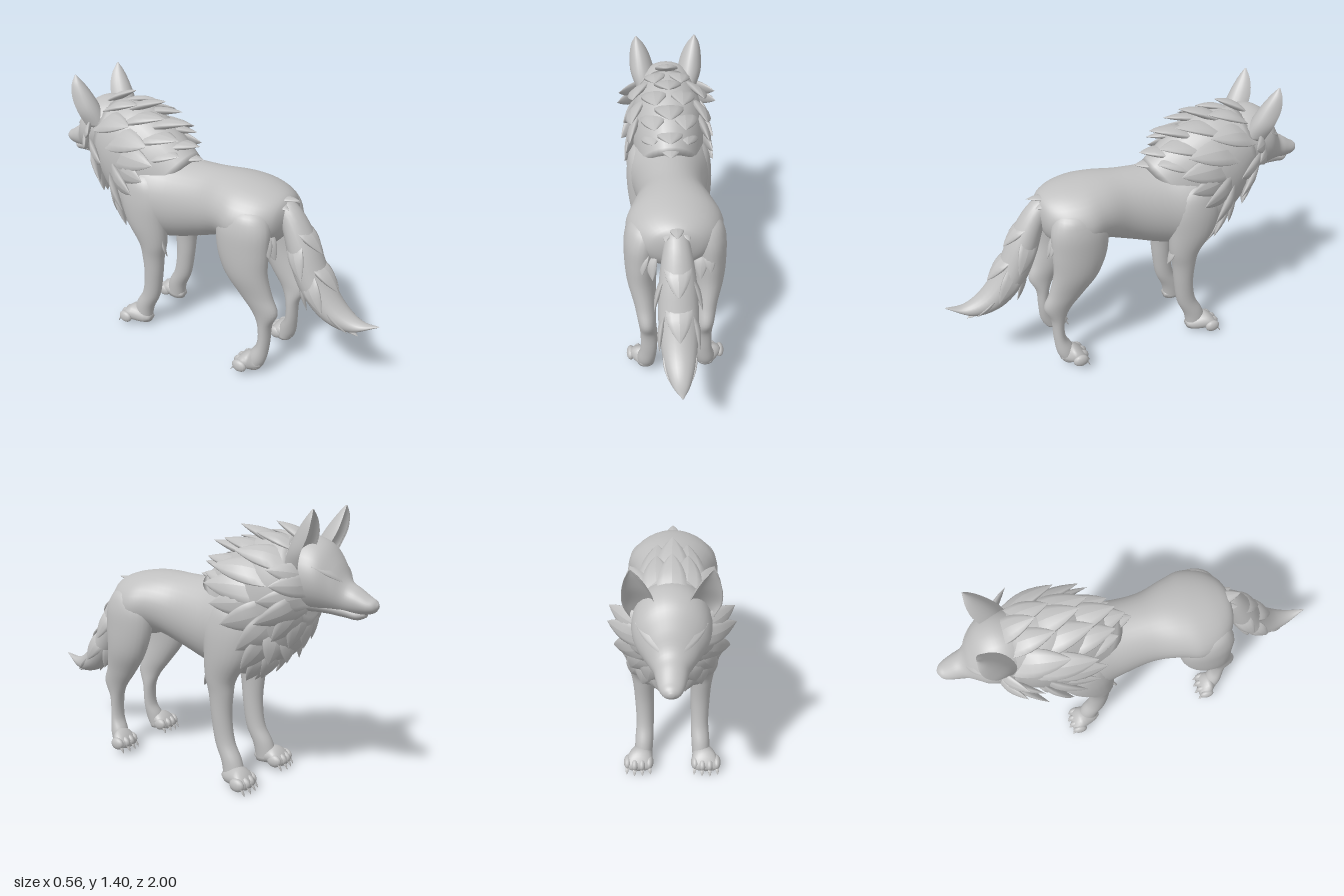
import * as THREE from 'three';

const fur = new THREE.MeshStandardMaterial({ color: 0xc0c0c0 });
fur.name = 'grey fur';

// Smooth skin through rings. Row: [x, halfWidth, y1, z1, y2, z2]; each ring spans the two y,z points.
// dent > 1 hollows the second side.
function loft(name, rows, { seg = 24, sub = 5, dent = 0, side = 1 } = {}) {
  const curve = (f) => new THREE.CatmullRomCurve3(rows.map((r) => new THREE.Vector3(...f(r))));
  const one = curve((r) => [r[0] * side, r[2], r[3]]);
  const two = curve((r) => [r[1], r[4], r[5]]);
  const n = (rows.length - 1) * sub, pos = [], idx = [];
  const mids = [];
  for (let i = 0; i <= n; i++) {
    const p = one.getPoint(i / n), q = two.getPoint(i / n), w = Math.max(q.x, 0.001);
    const my = (p.y + q.y) / 2, mz = (p.z + q.z) / 2;
    mids.push([p.x, my, mz]);
    for (let j = 0; j < seg; j++) {
      const a = (j / seg) * Math.PI * 2;
      let s = Math.sin(a);
      if (s < 0) s *= 1 - dent;
      pos.push(p.x + w * Math.cos(a), my + (p.y - my) * s, mz + (p.z - mz) * s);
      const k = (j + 1) % seg, b = i * seg;
      if (i < n) idx.push(b + j, b + k, b + seg + j, b + k, b + seg + k, b + seg + j);
    }
  }
  const c = (n + 1) * seg;
  pos.push(...mids[0], ...mids[n]);
  for (let j = 0; j < seg; j++) {
    const k = (j + 1) % seg;
    idx.push(c, k, j, c + 1, n * seg + j, n * seg + k);
  }
  // Turn the faces outward
  const v = (i) => new THREE.Vector3().fromArray(pos, i * 3);
  let vol = 0;
  for (let i = 0; i < idx.length; i += 3) vol += v(idx[i]).dot(v(idx[i + 1]).cross(v(idx[i + 2])));
  if (vol < 0) idx.reverse();
  const g = new THREE.BufferGeometry();
  g.setAttribute('position', new THREE.Float32BufferAttribute(pos, 3));
  g.setIndex(idx);
  g.computeVertexNormals();
  const m = new THREE.Mesh(g, fur);
  m.name = name;
  return m;
}

// Rows for a shape whose rings stand upright: [z, top, bottom, halfWidth, x]
const upright = (rows) => rows.map(([z, t, b, w, x = 0]) => [x, w, t, z, b, z]);

// Flat pointed lock of hair from base to tip, its root sunk into a body centred on `centre`
function tuft(name, [bx, by, bz, tx, ty, tz, w], centre, side) {
  const base = new THREE.Vector3(bx * side, by, bz), dir = new THREE.Vector3(tx * side, ty, tz).sub(base);
  const len = dir.length();
  dir.normalize();
  const out = base.clone().sub(centre);
  out.addScaledVector(dir, -out.dot(dir)).normalize();
  const across = new THREE.Vector3().crossVectors(dir, out);
  const g = new THREE.CylinderGeometry(1, 1, 1, 10, 8);
  const p = g.attributes.position;
  for (let i = 0; i < p.count; i++) {
    const t = p.getY(i) + 0.5, r = (1 - t) * (0.75 + 1.9 * t) + 0.003;
    const bow = 0.04 * len * Math.sin(Math.PI * t);
    p.setXYZ(i, p.getX(i) * r * w, t * len, p.getZ(i) * r * w * 0.33 * Math.min(1, 0.1 + 2 * t) + bow);
  }
  g.applyMatrix4(new THREE.Matrix4().makeBasis(across, dir, out).setPosition(base));
  g.computeVertexNormals();
  const m = new THREE.Mesh(g, fur);
  m.name = name;
  return m;
}

function tufts(name, list, centre) {
  const group = new THREE.Group();
  group.name = name;
  for (const t of list) for (const s of t[0] === 0 && t[3] === 0 ? [1] : [1, -1]) group.add(tuft('lock', t, new THREE.Vector3(...centre), s));
  return group;
}

// Paw with four toes and claws; z is the toe line, y the sole
function paw(name, side, x, y, z, heel) {
  const group = new THREE.Group();
  group.name = name;
  group.add(loft('pad', upright([
    [heel, y + 0.05, y + 0.02, 0.025, x - 0.005], [heel - 0.03, y + 0.075, y, 0.045, x],
    [z + 0.07, y + 0.1, y, 0.064, x + 0.01], [z + 0.03, y + 0.08, y, 0.067, x + 0.014], [z, y + 0.045, y + 0.005, 0.055, x + 0.017],
  ]), { side, sub: 3 }));
  for (let i = 0; i < 4; i++) {
    const d = i - 1.5, tx = x + 0.018 + d * 0.038, tz = z + 0.022 + Math.abs(d) * 0.012;
    const toe = new THREE.Mesh(new THREE.SphereGeometry(1, 14, 10), fur);
    toe.name = 'toe';
    toe.position.set(tx * side, y + 0.034, tz);
    toe.scale.set(0.022, 0.034, 0.042);
    group.add(toe);
    group.add(tuft('claw', [tx, y + 0.03, tz - 0.022, tx + d * 0.004, y - 0.012, tz - 0.05, 0.011], new THREE.Vector3(tx * side, 0, tz), side));
  }
  return group;
}

export function createModel() {
  const model = new THREE.Group();
  model.name = 'wolf';

  // Torso and neck
  model.add(loft('torso', upright([
    [0.495, 0.92, 0.85, 0.03], [0.465, 0.965, 0.76, 0.135], [0.39, 1.0, 0.69, 0.212], [0.28, 1.022, 0.67, 0.24],
    [0.18, 1.028, 0.69, 0.212], [0.04, 1.022, 0.64, 0.178], [-0.15, 1.02, 0.575, 0.195], [-0.3, 1.04, 0.55, 0.228],
    [-0.42, 1.04, 0.58, 0.21], [-0.52, 0.98, 0.66, 0.165], [-0.585, 0.91, 0.74, 0.07],
  ]), { seg: 36 }));
  model.add(loft('neck', [
    [0, 0.16, 1.03, -0.08, 0.62, -0.42], [0, 0.195, 1.15, -0.22, 0.67, -0.56],
    [0, 0.2, 1.25, -0.4, 0.77, -0.64], [0, 0.17, 1.265, -0.6, 0.89, -0.68],
  ], { seg: 32 }));

  // Head
  model.add(loft('skull and snout', upright([
    [-0.5, 1.22, 0.97, 0.1], [-0.58, 1.26, 0.93, 0.155], [-0.67, 1.272, 0.92, 0.172], [-0.75, 1.24, 0.925, 0.158],
    [-0.81, 1.165, 0.928, 0.115], [-0.86, 1.08, 0.93, 0.077], [-0.91, 1.05, 0.932, 0.064], [-0.96, 1.018, 0.94, 0.05],
    [-0.985, 1.005, 0.95, 0.035], [-1.0, 0.988, 0.97, 0.01],
  ]), { seg: 32 }));
  model.add(loft('lower jaw', upright([
    [-0.68, 1.02, 0.925, 0.12], [-0.78, 1.0, 0.922, 0.09], [-0.86, 0.98, 0.912, 0.06], [-0.91, 0.96, 0.907, 0.045], [-0.945, 0.95, 0.922, 0.02],
  ])));
  // Brow ridges
  model.add(tufts('brows', [[0.02, 1.09, -0.845, 0.15, 1.15, -0.74, 0.035]], [0, 1.0, -0.72]));
  for (const side of [1, -1]) {
    model.add(loft('ear', [
      [0.122, 0.05, 1.13, -0.59, 1.14, -0.78], [0.133, 0.066, 1.21, -0.618, 1.2, -0.8],
      [0.145, 0.057, 1.29, -0.66, 1.28, -0.825], [0.156, 0.034, 1.355, -0.705, 1.35, -0.8], [0.163, 0.003, 1.4, -0.742, 1.398, -0.755],
    ], { side, dent: 1.45 }));

    // Hind leg
    model.add(loft('hind leg', [
      [0.1, 0.02, 0.95, 0.36, 0.95, 0.3], [0.13, 0.08, 0.915, 0.43, 0.915, 0.24], [0.157, 0.088, 0.84, 0.465, 0.84, 0.185],
      [0.168, 0.084, 0.72, 0.47, 0.72, 0.183], [0.169, 0.074, 0.6, 0.47, 0.58, 0.23], [0.155, 0.056, 0.48, 0.495, 0.46, 0.315],
      [0.147, 0.045, 0.39, 0.527, 0.37, 0.385], [0.14, 0.043, 0.3, 0.492, 0.29, 0.42], [0.143, 0.043, 0.18, 0.485, 0.18, 0.42],
      [0.155, 0.048, 0.09, 0.475, 0.115, 0.385], [0.16, 0.046, 0.035, 0.45, 0.04, 0.37],
    ], { side }));
    model.add(paw('hind paw', side, 0.165, 0.03, 0.33, 0.46));

    // Front leg
    model.add(loft('front leg', [
      [0.1, 0.02, 0.98, -0.28, 0.98, -0.36], [0.128, 0.08, 0.92, -0.22, 0.92, -0.43], [0.148, 0.086, 0.82, -0.175, 0.82, -0.46],
      [0.155, 0.08, 0.68, -0.175, 0.68, -0.43], [0.15, 0.066, 0.56, -0.18, 0.54, -0.345], [0.148, 0.056, 0.47, -0.2, 0.47, -0.332],
      [0.146, 0.05, 0.35, -0.215, 0.35, -0.325], [0.145, 0.046, 0.21, -0.24, 0.22, -0.345], [0.15, 0.048, 0.11, -0.285, 0.135, -0.39],
      [0.155, 0.046, 0.02, -0.3, 0.04, -0.42],
    ], { side }));
    model.add(paw('front paw', side, 0.16, 0.012, -0.465, -0.295));
  }

  // Tail
  model.add(loft('tail', [
    [0, 0.045, 0.97, 0.4, 0.87, 0.43], [0, 0.065, 0.935, 0.51, 0.8, 0.465], [0, 0.09, 0.775, 0.63, 0.66, 0.51],
    [0, 0.095, 0.6, 0.715, 0.5, 0.59], [0, 0.078, 0.465, 0.82, 0.385, 0.71], [0, 0.045, 0.42, 0.91, 0.35, 0.85],
    [0, 0.003, 0.432, 1.0, 0.425, 0.995],
  ]));
  model.add(tufts('tail locks', [
    [0, 0.93, 0.37, 0, 0.96, 0.54, 0.045], [0.02, 0.93, 0.38, 0.055, 0.925, 0.51, 0.04], [0, 0.85, 0.52, 0, 0.72, 0.675, 0.07],
    [0, 0.68, 0.62, 0, 0.54, 0.775, 0.07], [0.05, 0.78, 0.54, 0.115, 0.6, 0.63, 0.05], [0.06, 0.62, 0.62, 0.095, 0.45, 0.74, 0.055],
    [0.03, 0.6, 0.58, 0.05, 0.41, 0.64, 0.05], [0, 0.54, 0.63, 0, 0.36, 0.73, 0.045], [0.04, 0.47, 0.71, 0.045, 0.36, 0.86, 0.045],
    [0, 0.42, 0.76, 0, 0.335, 0.9, 0.04],
  ], [0, 0.6, 0.63]));

  // Mane: crest, neck sides, cheeks and chest
  model.add(tufts('crest locks', [
    [0, 1.22, -0.68, 0, 1.325, -0.47, 0.07], [0.06, 1.21, -0.64, 0.07, 1.275, -0.4, 0.07], [0, 1.19, -0.56, 0, 1.3, -0.27, 0.085],
    [0.07, 1.16, -0.54, 0.07, 1.235, -0.22, 0.085], [0, 1.13, -0.42, 0, 1.21, -0.11, 0.09], [0.07, 1.09, -0.44, 0.08, 1.14, -0.13, 0.09],
    [0, 1.04, -0.32, 0, 1.1, -0.06, 0.09], [0.08, 1.02, -0.35, 0.09, 1.06, -0.12, 0.08], [0, 0.99, -0.24, 0, 1.035, -0.03, 0.07],
  ], [0, 0.8, -0.45]));
  model.add(tufts('neck locks', [
    [0.12, 1.15, -0.64, 0.19, 1.2, -0.36, 0.08], [0.14, 1.09, -0.56, 0.2, 1.12, -0.24, 0.085], [0.15, 1.02, -0.52, 0.21, 1.03, -0.2, 0.085],
    [0.15, 0.97, -0.52, 0.235, 0.94, -0.25, 0.08], [0.15, 0.93, -0.55, 0.245, 0.85, -0.32, 0.08], [0.14, 0.89, -0.56, 0.23, 0.73, -0.4, 0.08],
    [0.12, 0.82, -0.53, 0.2, 0.63, -0.41, 0.075], [0.1, 0.73, -0.5, 0.13, 0.555, -0.4, 0.065],
  ], [0, 0.95, -0.45]));
  model.add(tufts('cheek locks', [
    [0.11, 1.1, -0.72, 0.27, 1.135, -0.58, 0.055], [0.11, 1.06, -0.73, 0.28, 1.065, -0.6, 0.06], [0.11, 1.01, -0.72, 0.25, 0.98, -0.52, 0.07],
    [0.1, 0.99, -0.7, 0.265, 0.88, -0.52, 0.075], [0.09, 0.97, -0.67, 0.19, 0.79, -0.57, 0.075], [0.06, 0.95, -0.65, 0.11, 0.75, -0.62, 0.075],
    [0, 0.94, -0.64, 0, 0.73, -0.64, 0.075],
  ], [0, 1.03, -0.5]));
  model.add(tufts('chest locks', [
    [0.05, 0.86, -0.57, 0.06, 0.66, -0.585, 0.075], [0.1, 0.86, -0.55, 0.14, 0.66, -0.53, 0.075], [0, 0.8, -0.56, 0, 0.61, -0.515, 0.075],
    [0.06, 0.74, -0.53, 0.07, 0.56, -0.45, 0.07], [0, 0.69, -0.49, 0, 0.52, -0.37, 0.07],
  ], [0, 0.8, -0.35]));

  // Small locks on thighs and elbows
  model.add(tufts('leg locks', [
    [0.12, 0.82, 0.42, 0.115, 0.67, 0.485, 0.04], [0.15, 0.82, 0.43, 0.165, 0.7, 0.48, 0.035], [0.15, 0.59, -0.2, 0.15, 0.49, -0.165, 0.035],
  ], [0.14, 0.7, 0.1]));
  return model;
}
